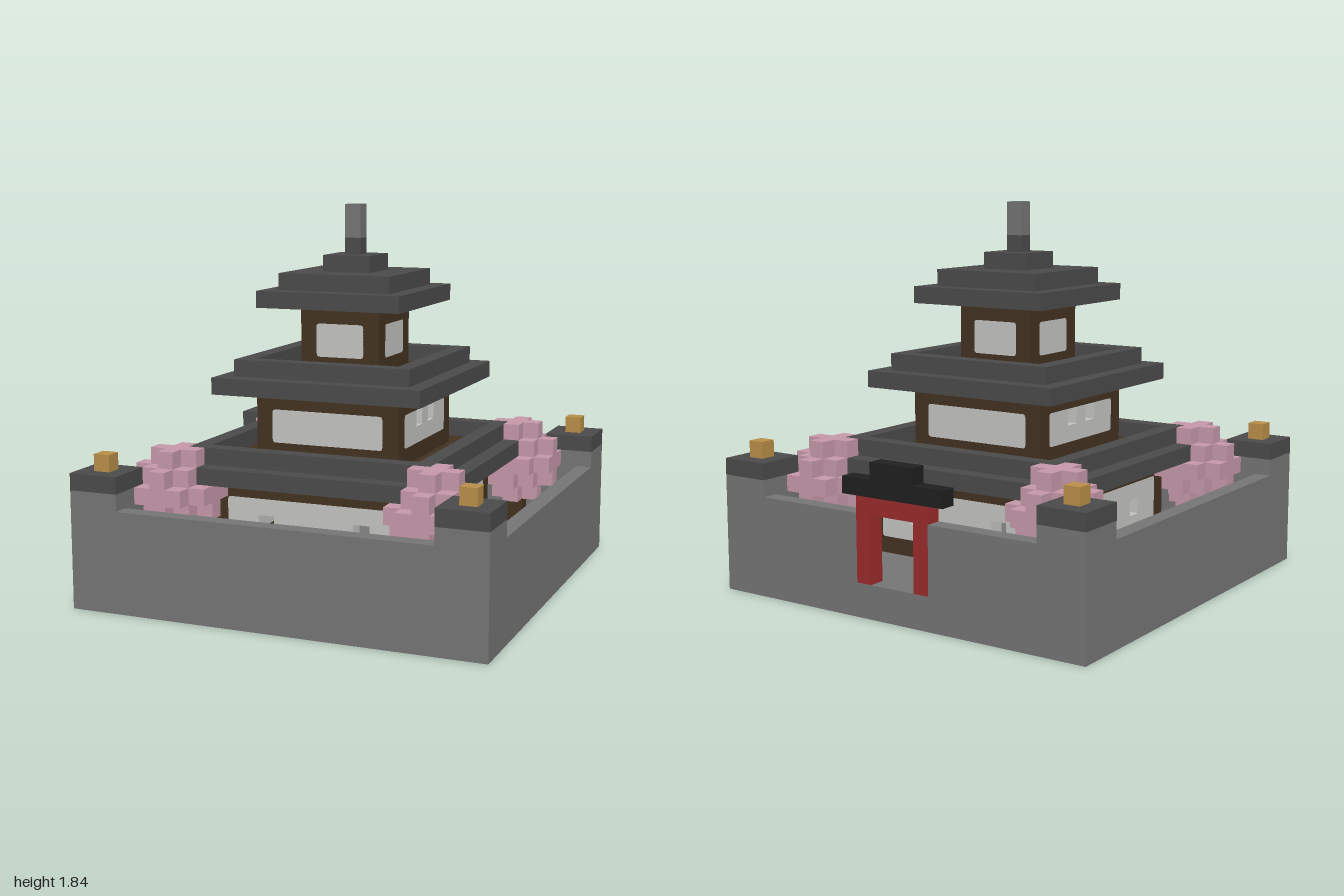
import * as THREE from 'three';
import { mergeGeometries } from 'three/addons/utils/BufferGeometryUtils.js';

const U = 0.08; // size of one building block

const mat = (name, color) => {
  const m = new THREE.MeshStandardMaterial({ color });
  m.name = name;
  return m;
};

// Box geometry from its minimum and maximum corners
const span = (x0, x1, y0, y1, z0, z1) =>
  new THREE.BoxGeometry(x1 - x0, y1 - y0, z1 - z0)
    .translate((x0 + x1) / 2, (y0 + y1) / 2, (z0 + z1) / 2);

// Closed rectangle or rounded rectangle
function rect(Type, x0, x1, y0, y1, r = 0) {
  const p = new Type();
  if (!r) {
    return p.moveTo(x0, y0).lineTo(x1, y0).lineTo(x1, y1).lineTo(x0, y1).closePath();
  }
  p.moveTo(x0 + r, y0).lineTo(x1 - r, y0).quadraticCurveTo(x1, y0, x1, y0 + r);
  p.lineTo(x1, y1 - r).quadraticCurveTo(x1, y1, x1 - r, y1);
  p.lineTo(x0 + r, y1).quadraticCurveTo(x0, y1, x0, y1 - r);
  p.lineTo(x0, y0 + r).quadraticCurveTo(x0, y0, x0 + r, y0);
  return p;
}

const extrude = (shape, depth) =>
  new THREE.ExtrudeGeometry(shape, { depth, bevelEnabled: false, curveSegments: 4 });

// Square slab with a square hole, lying flat
function squareRing(outer, inner, y0, y1) {
  const s = rect(THREE.Shape, -outer, outer, -outer, outer);
  s.holes.push(rect(THREE.Path, -inner, inner, -inner, inner));
  return extrude(s, y1 - y0).rotateX(-Math.PI / 2).translate(0, y0, 0);
}

export function createModel() {
  const root = new THREE.Group();
  root.name = 'pagoda';
  const stone = mat('stone', 0x747474);
  const slate = mat('roof slate', 0x4a4a4a);
  const wood = mat('dark wood', 0x423220);
  const plaster = mat('plaster', 0xc2c2c0);
  const gold = mat('lantern gold', 0xb78d48);
  const pink = mat('blossom pink', 0xc497a8);
  const red = mat('gate red', 0x9a2a2a);
  const black = mat('gate black', 0x1f1f1f);

  const add = (name, geometry, material, parent = root) => {
    const m = new THREE.Mesh(geometry, material);
    m.name = name;
    parent.add(m);
    return m;
  };

  // Courtyard floor and surrounding walls, open at the back for the gate
  add('courtyardFloor', span(-1, 1, 0, 0.16, -1, 1), stone);
  add('frontWall', span(-0.76, 0.76, 0.16, 0.48, 0.92, 1), stone);
  for (const s of [-1, 1]) {
    add('sideWall', span(s * 0.96 - 0.04, s * 0.96 + 0.04, 0.16, 0.48, -0.76, 0.76), stone);
    add('backWall', span(s * 0.48 - 0.28, s * 0.48 + 0.28, 0.16, 0.48, -1, -0.92), stone);
  }

  // Corner towers with lanterns, and blossom trees just inside them
  for (const sx of [-1, 1]) for (const sz of [-1, 1]) {
    const block = (c, h, y0, y1) =>
      span(sx * c - h, sx * c + h, y0, y1, sz * c - h, sz * c + h);
    add('cornerTower', block(0.88, 0.12, 0.16, 0.56), stone);
    add('cornerCap', block(0.88, 0.12, 0.56, 0.64), slate);
    add('cornerLantern', block(0.88, 0.04, 0.64, 0.72), gold);
    add('treeTrunk', block(0.64, 0.04, 0.16, 0.36), wood);

    const cells = [];
    for (let i = -2; i <= 2; i++) for (let j = -2; j <= 2; j++) for (let k = -2; k <= 2; k++) {
      if (i * i + j * j + k * k > 5) continue;
      if (j === 1 && i <= 0 && k <= 0) continue; // space taken by the eaves
      cells.push(new THREE.BoxGeometry(U, U, U)
        .translate(sx * (0.64 + i * U), 0.52 + j * U, sz * (0.64 + k * U)));
    }
    add('treeBlossom', mergeGeometries(cells), pink);
  }

  // One hollow storey: four wooden frames with plaster panels and small windows
  function storey(name, h, y0, y1, windowsOf, wy) {
    const group = new THREE.Group();
    group.name = name;
    root.add(group);
    for (let k = 0; k < 4; k++) {
      const side = new THREE.Group();
      side.name = 'wallSide';
      side.rotation.y = k * Math.PI / 2;
      group.add(side);
      const p = [U - h, h - U, y0 + U, y1 - U, 0.016];
      const frame = rect(THREE.Shape, -h, h - U, y0, y1);
      // the panel edge meets the neighbouring wall, so the frame ends there
      frame.holes.push(rect(THREE.Path, p[0], p[1] - 0.0005, p[2], p[3], p[4]));
      const panel = rect(THREE.Shape, ...p);
      for (const x of windowsOf(k)) {
        panel.holes.push(rect(THREE.Path, x - U / 2, x + U / 2, wy, wy + U));
      }
      add('wallFrame', extrude(frame, U).translate(0, 0, h - U), wood, side);
      add('wallPanel', extrude(panel, U).translate(0, 0, h - U), plaster, side);
      // corner post closes the frame
      add('cornerPost', span(h - U, h, y0, y1, h - U, h), wood, side);
    }
  }
  storey('groundStorey', 0.52, 0.16, 0.56, () => [-0.24, 0.24], 0.32);
  storey('middleStorey', 0.36, 0.64, 0.96, (k) => (k % 2 ? [-0.08, 0.08] : []), 0.8);
  storey('topStorey', 0.2, 1.04, 1.36, () => [], 0);
  add('innerLantern', span(-0.04, 0.04, 0.8, 0.88, -0.12, -0.04), gold);

  // Lower two roofs: stepped rings around a recessed wooden floor
  for (const [h, y] of [[0.52, 0.56], [0.36, 0.96]]) {
    add('eaves', squareRing(h + 2 * U, h, y, y + U), slate);
    add('roofRim', squareRing(h + U, h, y + U, y + 2 * U), slate);
    add('storeyFloor', span(-h, h, y, y + U, -h, h), wood);
  }

  // Top roof and finial
  [[0.36, 1.36], [0.28, 1.44], [0.12, 1.52], [0.04, 1.6]].forEach(([h, y]) =>
    add('topRoofStep', span(-h, h, y, y + U, -h, h), slate));
  add('finial', span(-0.04, 0.04, 1.68, 1.84, -0.04, 0.04), stone);

  // Gate in the back wall
  const gate = new THREE.Group();
  gate.name = 'gate';
  root.add(gate);
  for (const s of [-1, 1]) {
    add('gatePost', span(s * 0.16 - 0.04, s * 0.16 + 0.04, 0.16, 0.48, -1, -0.92), red, gate);
  }
  add('gateLintel', span(-0.2, 0.2, 0.48, 0.56, -1, -0.92), red, gate);
  add('gateRoof', span(-0.28, 0.28, 0.56, 0.64, -1, -0.92), black, gate);
  add('gateRidge', span(-0.12, 0.12, 0.64, 0.72, -1, -0.92), black, gate);

  return root;
}
